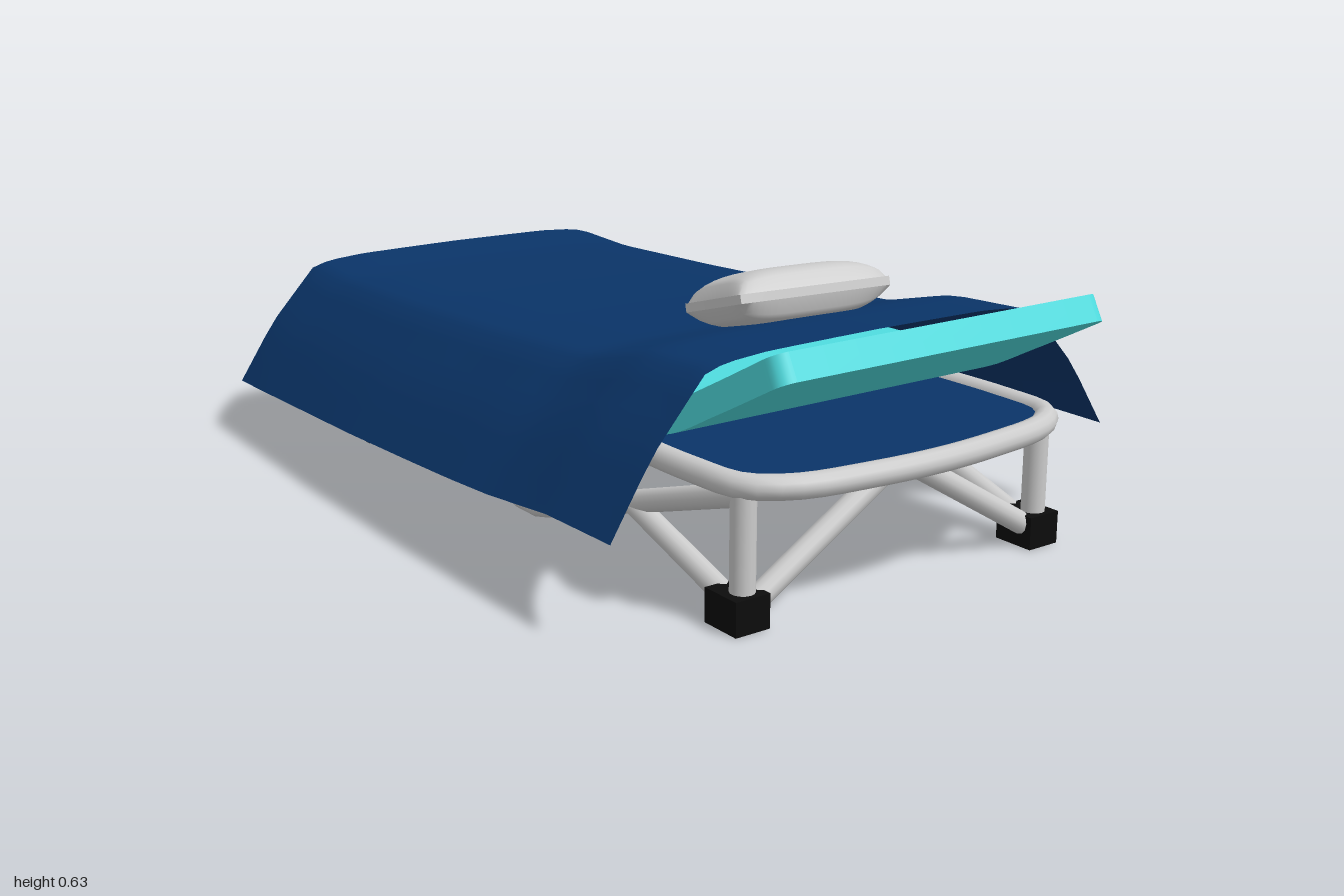
import * as THREE from 'three';

const steel = new THREE.MeshStandardMaterial({ color: 0xcccccc });
const linen = new THREE.MeshStandardMaterial({ color: 0xcccccc });
const rubber = new THREE.MeshStandardMaterial({ color: 0x0c0c0c });
const teal = new THREE.MeshStandardMaterial({ color: 0x50dde0 });
const blue = new THREE.MeshStandardMaterial({ color: 0x0a3468, side: THREE.DoubleSide });

const MID_X = 0.008;   // frame centre
const MID_Z = 0.051;
const LEG_X = 0.414;
const LEG_Z = 0.797;   // from the frame centre
const RAIL_Y = 0.3;
const TUBE_R = 0.027;

function add(parent, name, geometry, material) {
  const mesh = new THREE.Mesh(geometry, material);
  mesh.name = name;
  parent.add(mesh);
  return mesh;
}

// Tube through straight segments
function rod(parent, name, points) {
  const path = new THREE.CurvePath();
  const v = points.map((p) => new THREE.Vector3(...p));
  for (let i = 1; i < v.length; i++) path.add(new THREE.LineCurve3(v[i - 1], v[i]));
  return add(parent, name, new THREE.TubeGeometry(path, 40, TUBE_R * 0.95, 12), steel);
}

// Piecewise linear lookup in [position, value] pairs
function lookup(table, t) {
  for (let i = 1; i < table.length; i++) {
    const [a, va] = table[i - 1], [b, vb] = table[i];
    if (t <= b) return va + (vb - va) * Math.max(0, (t - a) / (b - a));
  }
  return table[table.length - 1][1];
}

function makeFrame() {
  const frame = new THREE.Group();
  frame.name = 'frame';
  frame.position.set(MID_X, 0, MID_Z);

  // Top rail with bowed ends
  const quarter = [[0.441, 0], [0.441, 0.4], [0.441, 0.67], [0.422, 0.807], [0.34, 0.869], [0.17, 0.9], [0, 0.911]];
  const half = [...quarter, ...quarter.slice(0, -1).reverse().map(([x, z]) => [-x, z])];
  const loop = [...half, ...half.slice(1, -1).reverse().map(([x, z]) => [x, -z])];
  const curve = new THREE.CatmullRomCurve3(
    loop.map(([x, z]) => new THREE.Vector3(x, RAIL_Y, z)), true, 'centripetal');
  add(frame, 'topRail', new THREE.TubeGeometry(curve, 120, TUBE_R, 12, true), steel);

  // Canvas stretched inside the rail
  const outline = new THREE.Shape(curve.getPoints(96).map((p) => new THREE.Vector2(p.x, -p.z)));
  add(frame, 'canvas', new THREE.ShapeGeometry(outline).rotateX(-Math.PI / 2), blue).position.y = RAIL_Y + 0.012;

  for (const sx of [1, -1]) {
    const x = sx * LEG_X;
    for (const sz of [1, -1]) {
      // Legs and feet
      const leg = add(frame, 'leg', new THREE.CylinderGeometry(TUBE_R, TUBE_R, 0.27, 14), steel);
      leg.position.set(x, 0.165, sz * LEG_Z);
      const foot = add(frame, 'foot', new THREE.BoxGeometry(0.086, 0.075, 0.102), rubber);
      foot.position.set(x - 0.003, 0.0375, sz * (LEG_Z - 0.012));
      // End braces meeting below the middle of the rail
      rod(frame, 'endBrace', [[x, 0.03, sz * LEG_Z], [0, 0.278, sz * LEG_Z]]);
    }
    // Crossed side braces
    for (const [yEnd, yMid] of [[0.035, 0.275], [0.275, 0.037]]) {
      rod(frame, 'sideBrace', [
        [x, yEnd, LEG_Z - 0.01], [x, yMid, 0.05], [x, yMid, -0.05], [x, yEnd, -LEG_Z + 0.01],
      ]);
    }
  }
  return frame;
}

// Mattress: one slab bent up into a headrest, corners rounded in plan
function makeMattress() {
  const HALF_W = 0.447, THICK = 0.06, R = 0.035;
  const spine = new THREE.CatmullRomCurve3([
    [-0.84, 0.357], [-0.2, 0.357], [0.35, 0.357], [0.54, 0.362], [0.64, 0.386], [0.78, 0.456], [0.985, 0.565],
  ].map(([z, y]) => new THREE.Vector3(0, y, z)), false, 'centripetal');
  const length = spine.getLength();
  const g = new THREE.BoxGeometry(2, THICK, 2, 10, 2, 70);
  const p = g.attributes.position;
  for (let i = 0; i < p.count; i++) {
    // rings crowd towards the ends, where the corners are
    const t = (Math.sin(p.getZ(i) * Math.PI / 2) + 1) / 2;
    const inset = Math.max(0, R - Math.min(t, 1 - t) * length);
    const halfWidth = HALF_W - R + Math.sqrt(Math.max(0, R * R - inset * inset));
    const c = spine.getPointAt(t), d = spine.getTangentAt(t), h = p.getY(i);
    p.setXYZ(i, 0.01 + p.getX(i) * halfWidth, c.y + d.z * h, c.z - d.y * h);
  }
  g.computeVertexNormals();
  const mattress = new THREE.Mesh(g, teal);
  mattress.name = 'mattress';
  return mattress;
}

// Blanket: flat top with straight falling sides, swept along a height profile
function makeBlanket() {
  const across = [[0, 0], [2 / 3, 0.46], [1, 0.692]];
  const drop = [[0, 0], [0.3, -0.002], [0.41, -0.009], [0.46, -0.024], [0.59, -0.165], [0.692, -0.32]];
  const height = [[-1, 0.445], [-0.8, 0.432], [-0.4, 0.44], [0, 0.455], [0.36, 0.475], [0.58, 0.53], [0.8, 0.54]];
  const spread = [[-1, 0.975], [-0.3, 1.01], [0.2, 1.015], [0.8, 0.995]];
  const fall = [[-1, 0.95], [-0.8, 0.885], [-0.4, 0.855], [0, 0.85], [0.36, 0.86], [0.58, 0.97], [0.8, 1]];
  const g = new THREE.PlaneGeometry(2, 1, 36, 40).rotateX(-Math.PI / 2);
  const p = g.attributes.position;
  for (let i = 0; i < p.count; i++) {
    const u = p.getX(i), a = Math.abs(u), v = p.getZ(i) + 0.5;
    const z = -1 + 1.78 * v + 0.02 * a * a;
    const x = lookup(across, a);
    p.setXYZ(i, Math.sign(u) * x * lookup(spread, z), lookup(height, z) + lookup(drop, x) * lookup(fall, z), z);
  }
  g.computeVertexNormals();
  const blanket = new THREE.Mesh(g, blue);
  blanket.name = 'blanket';
  return blanket;
}

// Pillow: box puffed in the middle and thinned at the seam
function makePillow() {
  const g = new THREE.BoxGeometry(2, 2, 2, 24, 1, 18);
  const p = g.attributes.position;
  for (let i = 0; i < p.count; i++) {
    const u = p.getX(i), w = p.getZ(i);
    const puff = Math.sqrt((1 - u ** 4) * (1 - w ** 4));
    p.setXYZ(i,
      u * 0.191 * (1 - 0.015 * (1 - w * w)),
      p.getY(i) * (0.01 + 0.052 * puff),
      w * 0.122 * (1 - 0.02 * (1 - u * u)));
  }
  g.computeVertexNormals();
  const pillow = new THREE.Mesh(g, linen);
  pillow.name = 'pillow';
  pillow.position.set(0.01, 0.555, 0.472);
  pillow.rotation.set(-0.28, -0.12, -0.03);
  return pillow;
}

export function createModel() {
  const model = new THREE.Group();
  model.name = 'campingCot';
  model.add(makeFrame(), makeMattress(), makeBlanket(), makePillow());
  return model;
}
